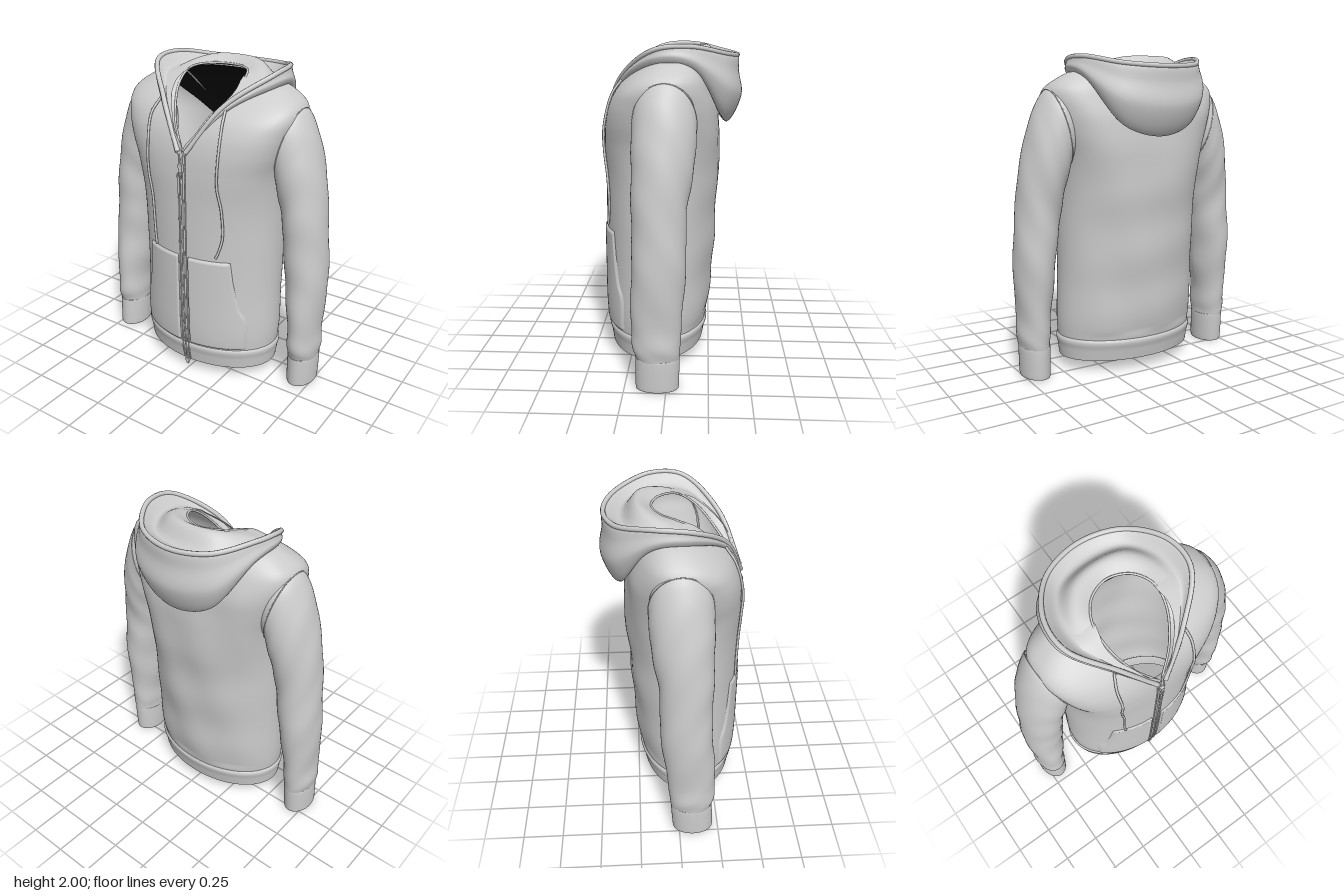
import * as THREE from 'three';

const V = (x, y, z) => new THREE.Vector3(x, y, z);
const fabric = new THREE.MeshStandardMaterial({ color: 0xcccccc, side: THREE.DoubleSide });
fabric.name = 'grey fabric';
const lining = new THREE.MeshStandardMaterial({ color: 0x080808 });
lining.name = 'black lining';

// Smooth interpolation of rows [key, a, b, c...] by key
function rows(table) {
  const keys = table.map(r => r[0]);
  const it = new THREE.CubicInterpolant(keys, table.flatMap(r => r.slice(1)), table[0].length - 1);
  return k => Array.from(it.evaluate(Math.min(Math.max(k, keys[0]), keys[keys.length - 1])));
}

// Surface from a rule f(u, v); it faces along dU x dV
function surface(name, f, nu, nv, mat = fabric) {
  const pos = [], idx = [];
  for (let j = 0; j <= nv; j++) for (let i = 0; i <= nu; i++) pos.push(...f(i / nu, j / nv).toArray());
  for (let j = 0; j < nv; j++) for (let i = 0; i < nu; i++) {
    const a = j * (nu + 1) + i, d = a + nu + 1;
    idx.push(a, a + 1, d + 1, a, d + 1, d);
  }
  const g = new THREE.BufferGeometry();
  g.setAttribute('position', new THREE.Float32BufferAttribute(pos, 3));
  g.setIndex(idx);
  g.computeVertexNormals();
  const m = new THREE.Mesh(g, mat);
  m.name = name;
  return m;
}
const mirrored = f => (u, v) => { const p = f(1 - u, v); p.x *= -1; return p; };

function tube(name, pts, r, closed = false, n = 80) {
  const m = new THREE.Mesh(new THREE.TubeGeometry(new THREE.CatmullRomCurve3(pts, closed), n, r, 8, closed), fabric);
  m.name = name;
  return m;
}
function box(name, w, h, d, x, y, z) {
  const m = new THREE.Mesh(new THREE.BoxGeometry(w, h, d), fabric);
  m.name = name;
  m.position.set(x, y, z);
  return m;
}

// Torso sections: y, half width, front z, back z, half width of the neck opening, squareness
const torsoAt = rows([
  [0.21, 0.474, 0.405, -0.225, 0, 2], [0.3, 0.48, 0.413, -0.24, 0, 2], [0.6, 0.475, 0.417, -0.268, 0, 2],
  [0.86, 0.475, 0.417, -0.285, 0, 2.05], [1.2, 0.475, 0.415, -0.303, 0, 2.3], [1.4, 0.49, 0.413, -0.308, 0, 2.7],
  [1.54, 0.53, 0.4, -0.29, 0, 2.9], [1.65, 0.56, 0.37, -0.275, 0.08, 3], [1.74, 0.582, 0.32, -0.25, 0.13, 2.9],
  [1.8, 0.57, 0.262, -0.23, 0.18, 2.7], [1.86, 0.495, 0.19, -0.2, 0.21, 2.5], [1.9, 0.41, 0.14, -0.17, 0.21, 2.3],
  [1.93, 0.22, 0.1, -0.13, 0.19, 2]]);
const hemAt = rows([[0.08, 0.467, 0.39, -0.208, 0, 2], [0.15, 0.476, 0.401, -0.222, 0, 2],
  [0.21, 0.483, 0.411, -0.234, 0, 2], [0.222, 0.473, 0.403, -0.225, 0, 2]]);

const power = (s, n) => Math.sign(s) * Math.abs(s) ** (2 / n);
function ringPoint(at, a, y, inset = 0) {
  const [w, zf, zb, , n] = at(y), c = (zf + zb) / 2, d = (zf - zb) / 2 - inset;
  const x = (w - inset) * power(Math.sin(a), n);
  const fold = Math.max(0, -Math.cos(a)) * Math.sin(9 * x + 5 * y) * Math.sin(11 * y - 7 * x);
  return V(x, y, c + d * power(Math.cos(a), n) + 0.009 * fold * (y > 0.25 ? 1 : 0));
}
const startAngle = y => {
  const [w, , , gap, n] = torsoAt(y);
  return Math.asin(Math.min(1, (y < 1.54 ? 0 : Math.max(0, gap)) / w) ** (n / 2));
};
const frontZ = (x, y) => {
  const [w, zf, zb, , n] = y < 0.21 ? hemAt(y) : torsoAt(y);
  return (zf + zb) / 2 + (zf - zb) / 2 * (1 - Math.min(1, Math.abs(x) / w) ** n) ** (1 / n);
};
const onFront = (x, y, lift) => V(x, y, frontZ(x, y) + lift);
const mix = THREE.MathUtils.lerp;

// Sleeve sections: key, outer x, y, inner x, y, front z, back z
const sleeveAt = rows([
  [0, 0.5, 1.825, 0.4, 1.37, 0.18, -0.15], [1, 0.578, 1.792, 0.455, 1.32, 0.2, -0.168],
  [2, 0.635, 1.71, 0.467, 1.26, 0.205, -0.167], [3, 0.688, 1.575, 0.48, 1.2, 0.205, -0.16],
  [4, 0.73, 1.4, 0.5, 1.1, 0.2, -0.143], [5, 0.765, 1.2, 0.515, 0.98, 0.2, -0.12],
  [6, 0.783, 1.0, 0.53, 0.86, 0.2, -0.115], [7, 0.795, 0.8, 0.545, 0.71, 0.2, -0.112],
  [8, 0.79, 0.6, 0.56, 0.55, 0.205, -0.102], [9, 0.778, 0.4, 0.583, 0.39, 0.203, -0.09],
  [10, 0.784, 0.28, 0.583, 0.27, 0.2, -0.085], [11, 0.77, 0.2, 0.588, 0.2, 0.18, -0.075]]);
const cuffAt = rows([[0, 0.768, 0.205, 0.588, 0.205, 0.18, -0.073], [1, 0.772, 0.195, 0.585, 0.195, 0.182, -0.078],
  [3, 0.768, 0.03, 0.586, 0.025, 0.182, -0.075], [4, 0.765, 0.013, 0.589, 0.004, 0.18, -0.073]]);
function sleevePoint(at, u, k, wrinkle) {
  const [ox, oy, ix, iy, zf, zb] = at(k), a = Math.PI * (2 * u - 1);
  const r = 1 + wrinkle * Math.sin(k * 2.6 + 2 * Math.sin(a)) * Math.sin(a * 2 + k);
  const c = Math.cos(a) * r, s = Math.sin(a) * r;
  return V((ox + ix) / 2 + (ox - ix) / 2 * c, (oy + iy) / 2 + (oy - iy) / 2 * c, (zf + zb) / 2 + (zf - zb) / 2 * s);
}
// The right forearm hangs slightly further out and forward
const rightSleeve = f => mirrored((u, v) => {
  const p = f(u, v), t = Math.max(0, 0.8 - p.y) / 0.8;
  return p.add(V(0.018 * t, 0, 0.035 * t));
});

// Hood lines from the back centre to the zip: neck, fold, valley, rim, back dip, bulge, bottom, tuck
const hoodLines = [
  [[0, 1.945, -0.13], [0.13, 1.945, -0.08], [0.2, 1.93, 0.03], [0.2, 1.855, 0.15], [0.126, 1.685, 0.295], [0.012, 1.54, 0.395]],
  [[0, 1.99, -0.22], [0.17, 1.982, -0.18], [0.28, 1.935, -0.02], [0.26, 1.88, 0.13], [0.146, 1.715, 0.305], [0.016, 1.538, 0.402]],
  [[0, 1.89, -0.31], [0.22, 1.895, -0.26], [0.335, 1.92, -0.08], [0.335, 1.9, 0.1], [0.174, 1.755, 0.305], [0.02, 1.535, 0.408]],
  [[0, 1.925, -0.41], [0.25, 1.94, -0.335], [0.405, 1.983, -0.12], [0.41, 1.965, 0.08], [0.215, 1.805, 0.29], [0.026, 1.525, 0.412]],
  [[0, 1.82, -0.422], [0.27, 1.85, -0.347], [0.42, 1.945, -0.125], [0.42, 1.942, 0.075], [0.222, 1.795, 0.296], [0.027, 1.52, 0.413]],
  [[0, 1.68, -0.44], [0.29, 1.73, -0.36], [0.43, 1.905, -0.13], [0.428, 1.92, 0.07], [0.225, 1.785, 0.3], [0.028, 1.515, 0.414]],
  [[0, 1.51, -0.35], [0.235, 1.58, -0.31], [0.395, 1.85, -0.145], [0.405, 1.88, 0.06], [0.222, 1.77, 0.295], [0.03, 1.51, 0.41]],
  [[0, 1.57, -0.284], [0.2, 1.64, -0.268], [0.36, 1.865, -0.135], [0.37, 1.895, 0.05], [0.21, 1.75, 0.285], [0.03, 1.51, 0.4]],
].map(line => {
  const half = line.map(p => V(...p));
  return [...half.slice(1).reverse().map(p => V(-p.x, p.y, p.z)), ...half];
});

export function createModel() {
  const model = new THREE.Group();
  model.name = 'hooded jacket';

  // Body, hem band and black inner panels
  model.add(surface('body', (u, v) => {
    const y = mix(0.21, 1.93, v), a = startAngle(y);
    return ringPoint(torsoAt, mix(a, 2 * Math.PI - a, u), y);
  }, 96, 90));
  model.add(surface('hemBand', (u, v) => ringPoint(hemAt, 2 * Math.PI * u, mix(0.08, 0.222, v)), 96, 14));
  model.add(surface('backLining', (u, v) =>
    ringPoint(torsoAt, Math.PI + mix(1, -1, u) * mix(0.28, 1.3, v), mix(1.56, 1.93, v), 0.012), 40, 30, lining));
  model.add(surface('frontLining', (u, v) =>
    ringPoint(torsoAt, mix(0, -0.6, u), mix(0.22, 1.5, v), 0.012), 16, 30, lining));

  // Hood with rolled rim and neckline
  const curves = hoodLines.map(l => new THREE.CatmullRomCurve3(l));
  model.add(surface('hood', (u, v) =>
    new THREE.CatmullRomCurve3(curves.map(c => c.getPoint(u))).getPoint(v), 90, 42));
  model.add(tube('hoodRim', hoodLines[3], 0.015, false, 120));
  model.add(tube('neckline', hoodLines[0], 0.007, false, 120));

  // Pocket: outer edge x by height, with borders pressed down to the body
  const pocketEdge = rows([[0.22, 0.385], [0.45, 0.383], [0.52, 0.352], [0.68, 0.32], [0.86, 0.3]]);
  const pocket = (u, v) => {
    const y = mix(0.222, 0.858, v), x = mix(0.035, pocketEdge(y)[0], u);
    const border = u < 0.01 || u > 0.99 || v < 0.01 || v > 0.99;
    return onFront(x, y, border ? -0.004 : 0.013);
  };

  for (const s of [1, -1]) {
    const side = s > 0 ? 'left' : 'right', place = f => (s > 0 ? f : rightSleeve(f));
    // Sleeve, cuff and armhole seam
    model.add(surface(side + 'Sleeve', place((u, v) =>
      sleevePoint(sleeveAt, u, 11 * v, 0.03 * THREE.MathUtils.clamp((11 * v - 1) / 3, 0, 1))), 48, 88));
    model.add(surface(side + 'Cuff', place((u, v) => sleevePoint(cuffAt, u, 4 * v, 0)), 48, 12));
    const seam = Array.from({ length: 24 }, (_, i) => sleevePoint(sleeveAt, i / 24, 1.05, 0));
    seam.forEach(p => { p.x *= s; });
    model.add(tube(side + 'ArmholeSeam', seam, 0.003, true));
    model.add(surface(side + 'Pocket', s > 0 ? pocket : mirrored(pocket), 40, 50));
    // Placket edge beside the zip
    const placket = Array.from({ length: 16 }, (_, i) => onFront(s * 0.022, mix(0.085, 1.51, i / 15), 0));
    model.add(tube(side + 'PlacketEdge', placket, 0.005));
  }

  // Drawstrings
  const strings = {
    leftDrawstring: [[0.225, 1.79], [0.24, 1.7], [0.245, 1.5], [0.24, 1.35], [0.26, 1.2], [0.262, 1.02], [0.24, 0.93], [0.222, 0.885]],
    rightDrawstring: [[-0.24, 1.79], [-0.268, 1.7], [-0.262, 1.5], [-0.265, 1.35], [-0.245, 1.2], [-0.24, 1.02], [-0.235, 0.93], [-0.228, 0.865]],
  };
  for (const [name, pts] of Object.entries(strings)) {
    model.add(tube(name, pts.map(([x, y]) => onFront(x, y, y > 1.75 ? 0.02 : 0.01)), 0.008));
  }

  // Zip teeth, sliders and pulls
  const teeth = Array.from({ length: 16 }, (_, i) => onFront(0, mix(0.06, 1.53, i / 15), 0.002));
  model.add(tube('zipTeeth', teeth, 0.006));
  model.add(box('topSlider', 0.026, 0.05, 0.02, 0, 1.43, 0.422));
  model.add(box('topPull', 0.014, 0.1, 0.008, -0.008, 1.32, 0.432));
  const ring = new THREE.Mesh(new THREE.TorusGeometry(0.014, 0.005, 8, 16), fabric);
  ring.name = 'pullRing';
  ring.position.set(-0.004, 1.385, 0.432);
  model.add(ring);
  model.add(box('bottomSlider', 0.026, 0.04, 0.018, 0, 0.08, 0.39));
  model.add(box('bottomPull', 0.014, 0.03, 0.01, 0, 0.055, 0.392));
  return model;
}
